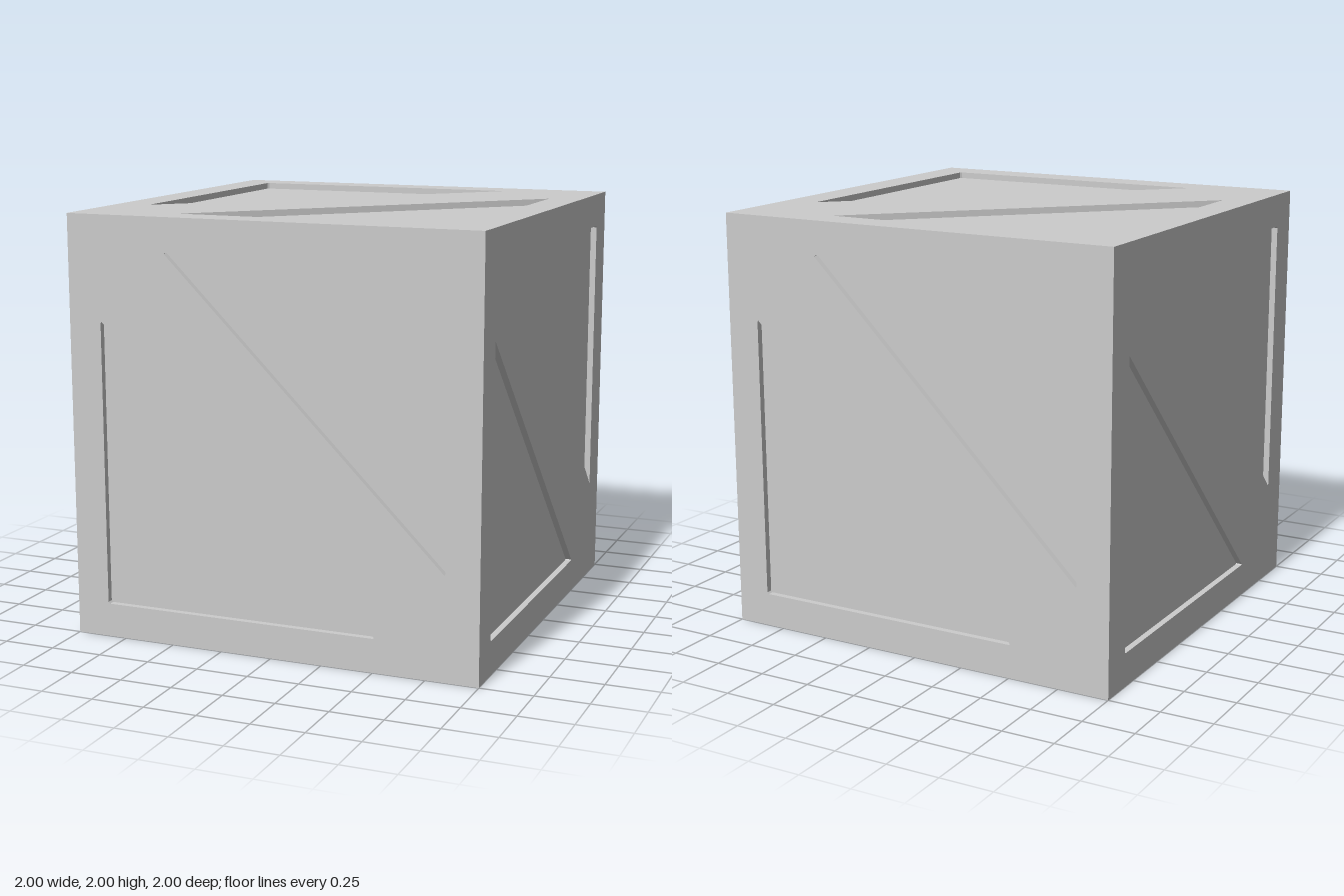
import * as THREE from 'three';

const HALF = 1;       // half the cube's edge
const DEPTH = 0.03;   // depth of the recessed panels

// Right triangle with slightly blunted corners, counter-clockwise
const upper = [
  [0.84, 0.5], [0.84, 0.832], [0.832, 0.84], [-0.5, 0.84], [-0.508, 0.836], [0.836, -0.508], [0.84, -0.5],
].filter((_, i) => i > 0).map(([x, y]) => new THREE.Vector2(x, y));
const lower = upper.map((p) => p.clone().negate());

// Inward-facing side walls of a recess
function recessWalls(points) {
  const pos = [];
  points.forEach((a, i) => {
    const b = points[(i + 1) % points.length];
    const top = HALF, low = HALF - DEPTH;
    pos.push(a.x, a.y, top, b.x, b.y, top, b.x, b.y, low);
    pos.push(a.x, a.y, top, b.x, b.y, low, a.x, a.y, low);
  });
  const geo = new THREE.BufferGeometry();
  geo.setAttribute('position', new THREE.Float32BufferAttribute(pos, 3));
  geo.computeVertexNormals();
  return geo;
}

export function createModel() {
  const model = new THREE.Group();
  model.name = 'crate';
  const material = new THREE.MeshStandardMaterial({ color: 0xcccccc, flatShading: true });

  // Outer frame with a diagonal brace: a square with two triangular holes
  const square = new THREE.Shape([[-1, -1], [1, -1], [1, 1], [-1, 1]]
    .map(([x, y]) => new THREE.Vector2(x * HALF, y * HALF)));
  square.holes = [upper, lower].map((pts) => new THREE.Path(pts));
  const frameGeo = new THREE.ShapeGeometry(square).translate(0, 0, HALF);
  const recesses = [upper, lower].map((pts) => ({
    walls: recessWalls(pts),
    floor: new THREE.ShapeGeometry(new THREE.Shape(pts)).translate(0, 0, HALF - DEPTH),
  }));

  function add(parent, name, geometry) {
    const mesh = new THREE.Mesh(geometry, material);
    mesh.name = name;
    parent.add(mesh);
  }

  // The same face six times; top and bottom get a quarter turn of the brace
  const q = Math.PI / 2;
  const sides = {
    front: [0, 0, 0], right: [0, q, 0], back: [0, 2 * q, 0], left: [0, -q, 0],
    top: [-q, 0, q], bottom: [q, 0, q],
  };
  for (const [name, rotation] of Object.entries(sides)) {
    const face = new THREE.Group();
    face.name = name + 'Face';
    add(face, 'bracedFrame', frameGeo);
    for (const { walls, floor } of recesses) {
      add(face, 'recessWalls', walls);
      add(face, 'recessedPanel', floor);
    }
    face.rotation.set(...rotation);
    face.position.y = HALF;
    model.add(face);
  }
  return model;
}
